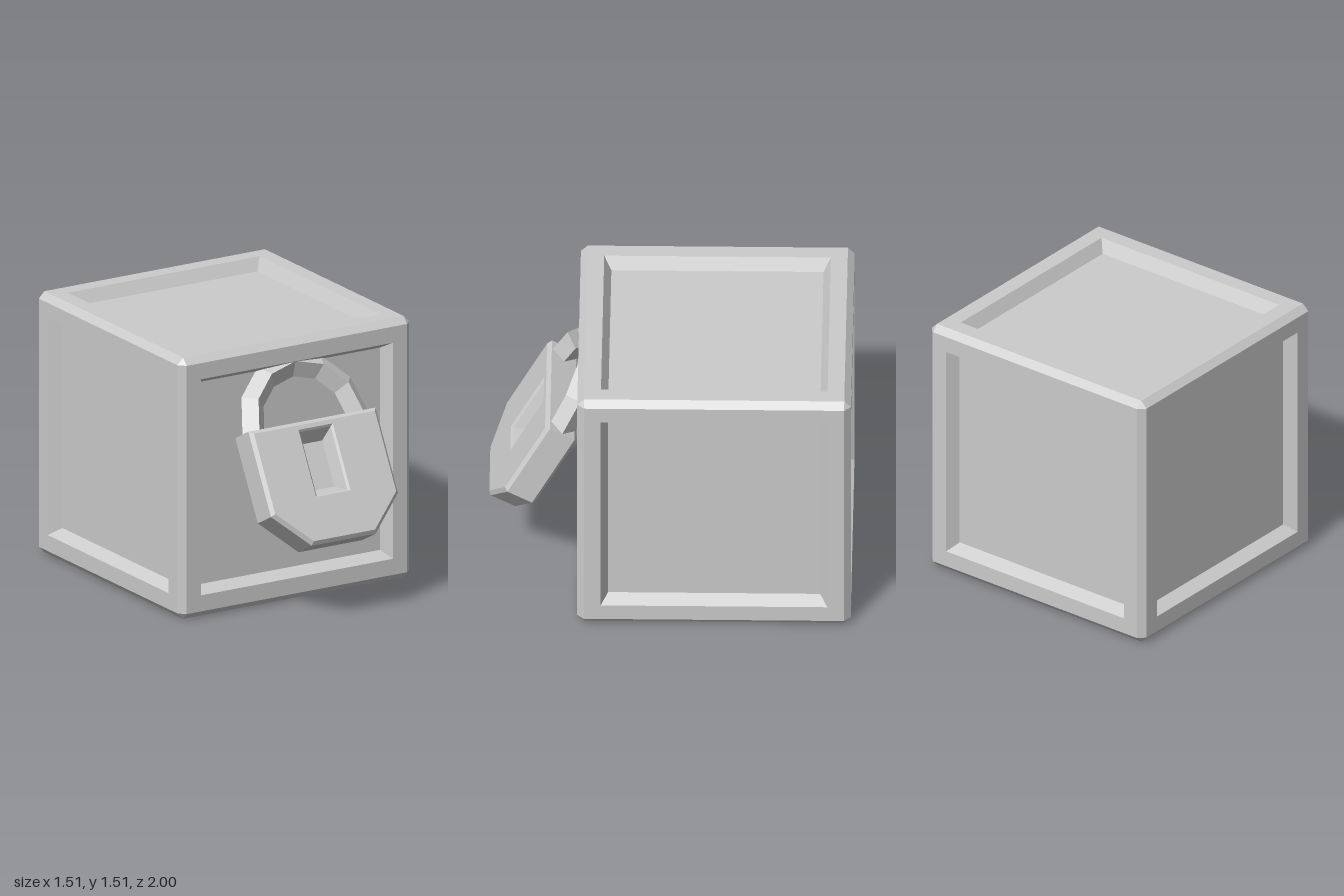
import * as THREE from 'three';

const material = new THREE.MeshStandardMaterial({ color: 0xcccccc, flatShading: true });

function addMesh(parent, name, geometry) {
  const mesh = new THREE.Mesh(geometry, material);
  mesh.name = name;
  parent.add(mesh);
  return mesh;
}

function fromTriangles(points) {
  const geometry = new THREE.BufferGeometry();
  geometry.setAttribute('position', new THREE.Float32BufferAttribute(points.flat(), 3));
  geometry.computeVertexNormals();
  return geometry;
}

// Joins equal-length loops (counter-clockwise seen from +z) with flat bands and optional caps
function loft(loops, capStart, capEnd) {
  const tris = [];
  const n = loops[0].length;
  for (let k = 0; k + 1 < loops.length; k++) {
    const a = loops[k], b = loops[k + 1];
    for (let i = 0; i < n; i++) {
      const j = (i + 1) % n;
      tris.push(a[i], a[j], b[j], a[i], b[j], b[i]);
    }
  }
  const first = loops[0], last = loops[loops.length - 1];
  for (let i = 1; i + 1 < n; i++) {
    if (capStart) tris.push(first[0], first[i + 1], first[i]);
    if (capEnd) tris.push(last[0], last[i], last[i + 1]);
  }
  return fromTriangles(tris);
}

const rect = (w, y0, y1, z) => [[-w, y0, z], [w, y0, z], [w, y1, z], [-w, y1, z]];
const square = (h, z) => rect(h, -h, h, z);

const HALF = 0.755, BEVEL = 0.037, RECESS = 0.07;

// Chamfer strips along the twelve edges and triangles on the eight corners
function crateBevels() {
  const tris = [];
  const corner = (signs, axis) => signs.map((s, i) => s * (i === axis ? HALF : HALF - BEVEL));
  const addTri = (p, q, r) => {
    const [a, b, c] = [p, q, r].map((v) => new THREE.Vector3(...v));
    const normal = b.clone().sub(a).cross(c.clone().sub(a));
    if (normal.dot(a) > 0) tris.push(p, q, r);
    else tris.push(p, r, q);
  };
  for (const x of [-1, 1]) for (const y of [-1, 1]) for (const z of [-1, 1]) {
    const s = [x, y, z];
    addTri(corner(s, 0), corner(s, 1), corner(s, 2));
    for (let axis = 0; axis < 3; axis++) {
      if (s[axis] < 0) continue;
      const t = s.map((v, i) => (i === axis ? -v : v));
      const b = (axis + 1) % 3, c = (axis + 2) % 3;
      addTri(corner(s, b), corner(s, c), corner(t, c));
      addTri(corner(s, b), corner(t, c), corner(t, b));
    }
  }
  return fromTriangles(tris);
}

function createCrate() {
  const crate = new THREE.Group();
  crate.name = 'crate';
  addMesh(crate, 'bevelledEdges', crateBevels());

  // Framed faces with sunken panels
  const panel = loft([
    square(HALF - BEVEL, HALF), square(0.625, HALF), square(0.585, HALF - RECESS),
  ], false, true);
  ['frontPanel', 'leftPanel', 'backPanel', 'rightPanel'].forEach((name, i) => {
    addMesh(crate, name, panel).rotation.y = i * Math.PI / 2;
  });
  addMesh(crate, 'topPanel', panel).rotation.x = -Math.PI / 2;

  // Plain underside
  addMesh(crate, 'base', loft([square(HALF - BEVEL, HALF)], false, true)).rotation.x = Math.PI / 2;

  crate.position.set(0, HALF, -0.245);
  return crate;
}

function createPadlock() {
  const lock = new THREE.Group();
  lock.name = 'padlock';

  // Body: six-sided outline with bevelled rims, closed at the back
  const outline = (w, top, fold, low, bottom, z) => [
    [-low, bottom, z], [low, bottom, z], [w, fold, z], [w, top, z], [-w, top, z], [-w, fold, z],
  ];
  const outer = (z) => outline(0.414, 0, -0.49, 0.208, -0.69, z);
  const inner = (z) => outline(0.394, -0.02, -0.482, 0.2, -0.67, z);
  const front = 0.088, back = -0.106;
  addMesh(lock, 'lockBody', loft(
    [inner(back), outer(back + 0.02), outer(front - 0.02), inner(front)], true, false));

  // Front plate with the keyhole opening
  const opening = rect(0.112, -0.43, -0.045, front);
  const to2D = (loop) => loop.map(([x, y]) => new THREE.Vector2(x, y));
  const plate = new THREE.Shape(to2D(inner(front)));
  plate.holes.push(new THREE.Path(to2D(opening)));
  addMesh(lock, 'lockFront', new THREE.ShapeGeometry(plate)).position.z = front;

  // Tapered keyhole pocket with a softened rim
  addMesh(lock, 'keyhole', loft([
    opening, rect(0.1, -0.42, -0.058, front - 0.012), rect(0.07, -0.38, -0.115, 0),
  ], false, true));

  // Shackle: half ring with a diamond section
  addMesh(lock, 'shackle', new THREE.TorusGeometry(0.338, 0.071, 4, 6, Math.PI)).position.z = -0.01;

  lock.position.set(0, 1.05, 0.605);
  lock.rotation.x = -THREE.MathUtils.degToRad(28.5);
  return lock;
}

export function createModel() {
  const model = new THREE.Group();
  model.name = 'lockedCrate';
  model.add(createCrate(), createPadlock());
  return model;
}
